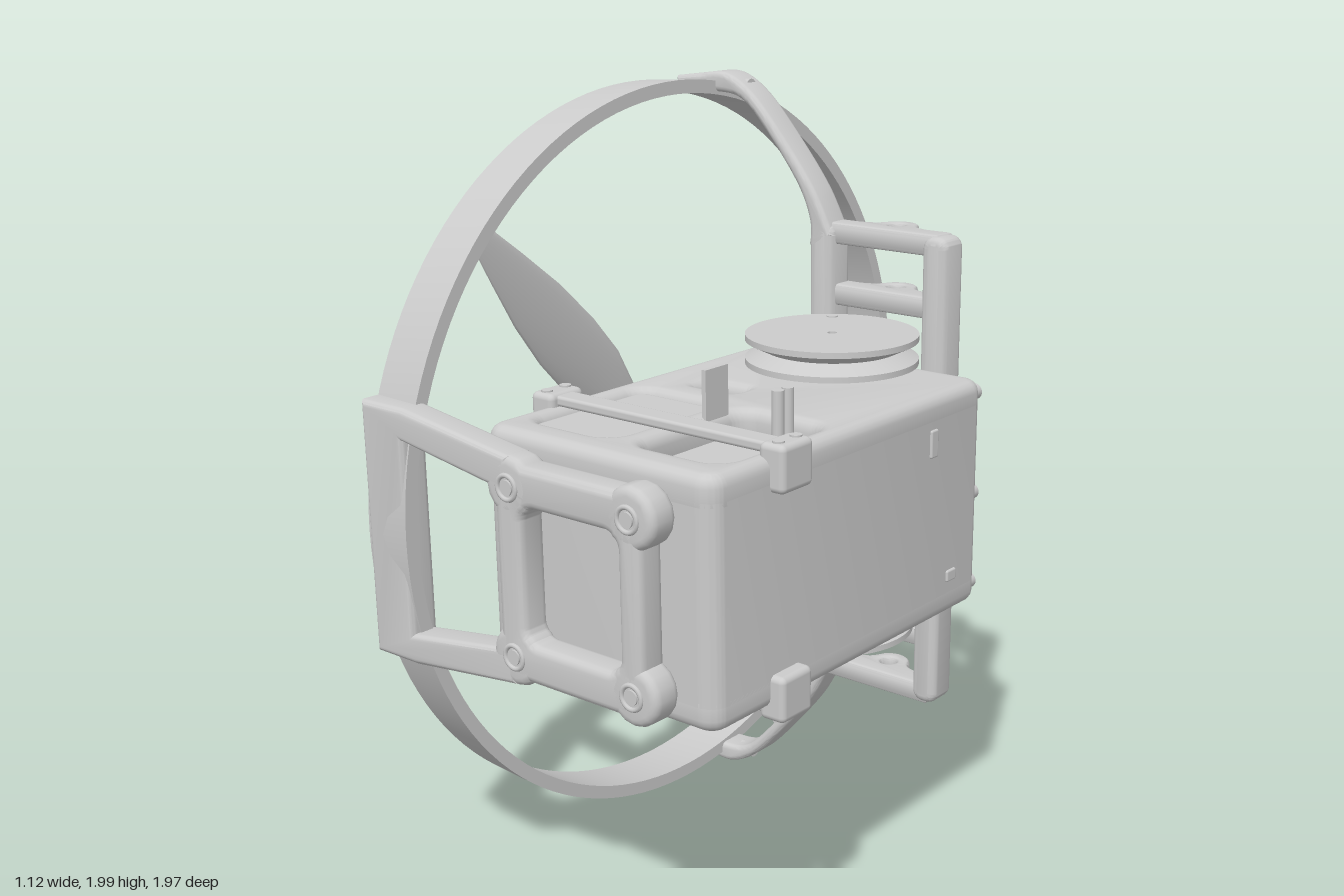
import * as THREE from 'three';
import { toCreasedNormals } from 'three/addons/utils/BufferGeometryUtils.js';
import { RoundedBoxGeometry } from 'three/addons/geometries/RoundedBoxGeometry.js';

const material = new THREE.MeshStandardMaterial({ color: 0xcccccc });
const V = (x, y) => new THREE.Vector2(x, y);

function add(parent, name, geometry, x = 0, y = 0, z = 0) {
  const mesh = new THREE.Mesh(geometry, material);
  mesh.name = name;
  mesh.position.set(x, y, z);
  parent.add(mesh);
  return mesh;
}

// Rounded rectangle from two corners
function roundRect(x0, y0, x1, y1, r, Type = THREE.Shape) {
  const s = new Type();
  s.absarc(x1 - r, y0 + r, r, -Math.PI / 2, 0);
  s.absarc(x1 - r, y1 - r, r, 0, Math.PI / 2);
  s.absarc(x0 + r, y1 - r, r, Math.PI / 2, Math.PI);
  s.absarc(x0 + r, y0 + r, r, Math.PI, Math.PI * 1.5);
  s.closePath();
  return s;
}

// Plate in the xy plane from z0 to z1 with softened edges
function plate(shape, z0, z1, bevel = 0.02) {
  const g = new THREE.ExtrudeGeometry(shape, {
    depth: z1 - z0 - 2 * bevel, bevelEnabled: bevel > 0, bevelThickness: bevel,
    bevelSize: bevel, bevelOffset: -bevel, bevelSegments: 4, curveSegments: 8,
  });
  g.translate(0, 0, z0 + bevel);
  return toCreasedNormals(g, 0.6);
}

// Same, lying flat: the shape is drawn in x, z and spans y0 to y1
const flatPlate = (shape, y0, y1, bevel) => plate(shape, -y1, -y0, bevel).rotateX(Math.PI / 2);

const lathe = (points, n = 64) => toCreasedNormals(new THREE.LatheGeometry(points.map(p => V(...p)), n), 0.5);
const rodX = (r, x0, x1, n = 32) =>
  new THREE.CylinderGeometry(r, r, x1 - x0, n).rotateZ(Math.PI / 2).translate((x0 + x1) / 2, 0, 0);
const rodZ = (r, z0, z1, n = 24) =>
  new THREE.CylinderGeometry(r, r, z1 - z0, n).rotateX(Math.PI / 2).translate(0, 0, (z0 + z1) / 2);

// Twisted propeller blade lofted along +y from elliptical sections
function bladeGeometry() {
  // radius, half chord, half thickness, twist in degrees
  const stations = [[0.03, 0.035, 0.02, 38], [0.1, 0.04, 0.018, 38], [0.2, 0.068, 0.014, 36], [0.32, 0.09, 0.011, 31],
    [0.45, 0.092, 0.009, 25], [0.6, 0.08, 0.007, 19], [0.75, 0.055, 0.006, 14], [0.87, 0.032, 0.005, 11], [0.91, 0.015, 0.003, 10]];
  const n = 16, pos = [], idx = [];
  for (const [r, c, t, deg] of stations) {
    const co = Math.cos(deg * Math.PI / 180), si = Math.sin(deg * Math.PI / 180);
    for (let j = 0; j < n; j++) {
      const a = j / n * Math.PI * 2, u = c * Math.cos(a), w = t * Math.sin(a);
      pos.push(-u * si + w * co, r, u * co + w * si);
    }
  }
  for (let i = 0; i < stations.length - 1; i++) {
    for (let j = 0; j < n; j++) {
      const a = i * n + j, b = i * n + (j + 1) % n;
      idx.push(a, b, a + n, b, b + n, a + n);
    }
  }
  const last = (stations.length - 1) * n;
  for (let j = 1; j < n - 1; j++) idx.push(last, last + j, last + j + 1);
  const g = new THREE.BufferGeometry();
  g.setAttribute('position', new THREE.Float32BufferAttribute(pos, 3));
  g.setIndex(idx);
  g.computeVertexNormals();
  return g;
}

// Winch spool, strap and posts on one face of the housing (y measured from that face)
function deckKit() {
  const kit = new THREE.Group();
  add(kit, 'spoolAxle', new THREE.CylinderGeometry(0.035, 0.035, 0.06, 24), 0, 0, 0.03);
  add(kit, 'spool', lathe([[0, 0.025], [0.217, 0.025], [0.217, 0.04], [0.17, 0.062], [0.217, 0.085], [0.217, 0.1], [0.012, 0.1], [0.012, 0.09], [0, 0.09]]), 0, 0, 0.03);
  add(kit, 'spoolPin', new THREE.CylinderGeometry(0.015, 0.015, 0.02, 16), -0.11, 0.093, -0.12);
  add(kit, 'batteryPad', new RoundedBoxGeometry(0.27, 0.05, 0.39, 3, 0.02), -0.155, -0.04, 0.615);
  add(kit, 'strap', new RoundedBoxGeometry(0.68, 0.025, 0.06, 2, 0.008), 0, 0.012, 0.66);
  for (const s of [-1, 1]) {
    add(kit, 'strapClamp', new RoundedBoxGeometry(0.07, 0.11, 0.11, 3, 0.015), s * 0.34, -0.025, 0.655);
    for (const z of [0.625, 0.685])
      add(kit, 'clampScrew', new THREE.CylinderGeometry(0.014, 0.014, 0.01, 16), s * 0.343, 0.029, z);
  }
  for (const z of [0.55, 0.585])
    add(kit, 'terminalPost', new THREE.CylinderGeometry(0.014, 0.014, 0.17, 12), 0.263, 0.025, z);
  add(kit, 'fin', new THREE.BoxGeometry(0.012, 0.16, 0.08), 0.022, 0.03, 0.51);
  return kit;
}

export function createModel() {
  const model = new THREE.Group();
  model.name = 'propellerWinchUnit';

  // Housing: core plus two caps holding the recessed trays
  const housing = new THREE.Group();
  housing.name = 'housing';
  model.add(housing);
  const outline = () => roundRect(-0.16, -0.15, 0.52, 0.90, 0.05);
  const opening = () => roundRect(-0.01, 0.275, 0.11, 0.335, 0.012, THREE.Path);
  const core = outline();
  core.holes.push(opening());
  add(housing, 'housingCore', flatPlate(core, 0.78, 1.24, 0));
  const cap = outline();
  cap.holes.push(opening(), roundRect(-0.1, 0.43, 0.145, 0.80, 0.05, THREE.Path), roundRect(0.215, 0.43, 0.46, 0.80, 0.05, THREE.Path));
  add(housing, 'topCap', flatPlate(cap, 1.20, 1.30, 0.03));
  add(housing, 'bottomCap', flatPlate(cap, 0.72, 0.82, 0.03));
  add(housing, 'sideSwitch', new RoundedBoxGeometry(0.012, 0.07, 0.03, 2, 0.005), 0.52, 1.185, 0.08);
  add(housing, 'sidePort', new RoundedBoxGeometry(0.012, 0.03, 0.04, 2, 0.005), 0.52, 0.825, -0.01);
  for (const x of [-0.125, 0.485])
    for (const y of [0.76, 1, 1.26]) add(housing, 'housingScrew', rodZ(0.02, -0.158, -0.13), x, y, 0);

  // The lower face repeats the upper one turned half way round
  for (const [name, y, turn] of [['topDeck', 1.30, 0], ['bottomDeck', 0.72, Math.PI]]) {
    const kit = deckKit();
    kit.name = name;
    kit.position.set(0.18, y, 0);
    kit.rotation.z = turn;
    model.add(kit);
  }

  // Guard ring
  add(model, 'guardRing', lathe([[0.95, 0.34], [0.985, 0.34], [0.977, 0.48], [0.95, 0.48], [0.95, 0.34]], 128).rotateZ(Math.PI / 2), 0, 1, 0);

  // Front bracket: ring bar with tapering arms, and a square frame
  const front = new THREE.Group();
  front.name = 'frontBracket';
  model.add(front);
  const arms = new THREE.Shape([V(-0.48, 0.69), V(-0.34, 0.69), V(0, 0.73), V(0, 1.27), V(-0.34, 1.32), V(-0.48, 1.32)]);
  arms.holes.push(new THREE.Path([V(-0.345, 0.765), V(-0.345, 1.24), V(-0.04, 1.19), V(-0.04, 0.81)]));
  add(front, 'frontArms', plate(arms, 0.90, 0.98, 0.015));
  const frame = roundRect(-0.045, 0.745, 0.385, 1.255, 0.05);
  frame.holes.push(roundRect(0.035, 0.84, 0.32, 1.16, 0.04, THREE.Path));
  add(front, 'frontFrame', plate(frame, 0.90, 0.98));

  // Rear bracket: two uprights, curved arms to the ring, and cross loops
  const rear = new THREE.Group();
  rear.name = 'rearBracket';
  model.add(rear);
  for (const x of [0.005, 0.355])
    add(rear, 'rearUpright', plate(roundRect(x - 0.037, 0.38, x + 0.037, 1.63, 0.03), -0.24, -0.15));
  for (const s of [-1, 1]) {
    const y = h => 1 + s * h;
    const arm = new THREE.Shape();
    arm.moveTo(-0.48, y(0.945));
    arm.lineTo(-0.48, y(0.98));
    arm.lineTo(-0.4, y(0.99));
    arm.splineThru([V(-0.31, y(0.995)), V(-0.22, y(0.945)), V(-0.12, y(0.84)), V(-0.02, y(0.715)), V(0.042, y(0.6))]);
    arm.lineTo(-0.032, y(0.57));
    arm.splineThru([V(-0.034, y(0.64)), V(-0.08, y(0.735)), V(-0.2, y(0.88)), V(-0.27, y(0.935)), V(-0.35, y(0.945))]);
    arm.closePath();
    add(rear, 'ringArm', plate(arm, -0.24, -0.15, 0.015));
    add(rear, 'armScrew', rodX(0.02, -0.3, -0.255, 20), 0, y(0.96), -0.195);
    for (const h of [0.605, 0.445]) {
      const loop = new THREE.Shape([V(0, -0.17), V(0, -0.24), V(0.08, -0.24)]);
      loop.splineThru([V(0.115, -0.255), V(0.14, -0.295), V(0.178, -0.31), V(0.216, -0.295), V(0.24, -0.255), V(0.276, -0.24)]);
      loop.lineTo(0.356, -0.24);
      loop.lineTo(0.356, -0.17);
      loop.closePath();
      loop.holes.push(new THREE.Path().absarc(0.178, -0.25, 0.022, 0, Math.PI * 2, true));
      add(rear, 'crossLoop', flatPlate(loop, y(h) - 0.028, y(h) + 0.028, 0.012));
    }
  }

  // Bolt bosses on both brackets
  for (const x of [0, 0.355]) {
    for (const y of [0.8, 1.2]) {
      const boss = () => new THREE.Shape().absarc(x, y, 0.072, 0, Math.PI * 2);
      for (const [group, z0, z1, face] of [[front, 0.90, 0.98, 0.98], [rear, -0.24, -0.15, -0.24]]) {
        add(group, 'boltBoss', plate(boss(), z0, z1));
        add(group, 'boltRim', new THREE.TorusGeometry(0.028, 0.006, 8, 24), x, y, face);
        add(group, 'boltHead', rodZ(0.018, face - 0.004, face + 0.004), x, y, 0);
      }
    }
  }

  // Motor with open spoked bell
  const motor = new THREE.Group();
  motor.name = 'motor';
  motor.position.y = 1;
  model.add(motor);
  add(motor, 'motorBell', lathe([[0, 0.22], [0.14, 0.22], [0.145, 0.225], [0.145, 0.375], [0.125, 0.38], [0.125, 0.26], [0, 0.26]], 48).rotateZ(Math.PI / 2));
  add(motor, 'motorMount', rodX(0.08, -0.2, -0.15));
  add(motor, 'motorNeck', rodX(0.04, -0.23, -0.19));
  add(motor, 'cableStub', rodZ(0.012, 0.05, 0.155, 12), -0.205, 0, 0);
  add(motor, 'stator', rodX(0.09, -0.35, -0.25));
  for (let i = 0; i < 6; i++)
    add(motor, 'bellSpoke', new THREE.BoxGeometry(0.02, 0.12, 0.03).translate(-0.37, 0.075, 0).rotateX(i * Math.PI / 3));

  // Propeller
  const propeller = new THREE.Group();
  propeller.name = 'propeller';
  propeller.position.y = 1;
  model.add(propeller);
  add(propeller, 'shaft', rodX(0.02, -0.56, -0.3));
  add(propeller, 'shaftNut', rodX(0.035, -0.54, -0.36, 6));
  add(propeller, 'hub', rodX(0.08, -0.53, -0.49));
  add(propeller, 'hubCore', rodX(0.05, -0.5, -0.42));
  for (const turn of [0, Math.PI])
    add(propeller, 'blade', bladeGeometry().rotateX(0.735 + turn), -0.475, 0, 0);

  return model;
}
